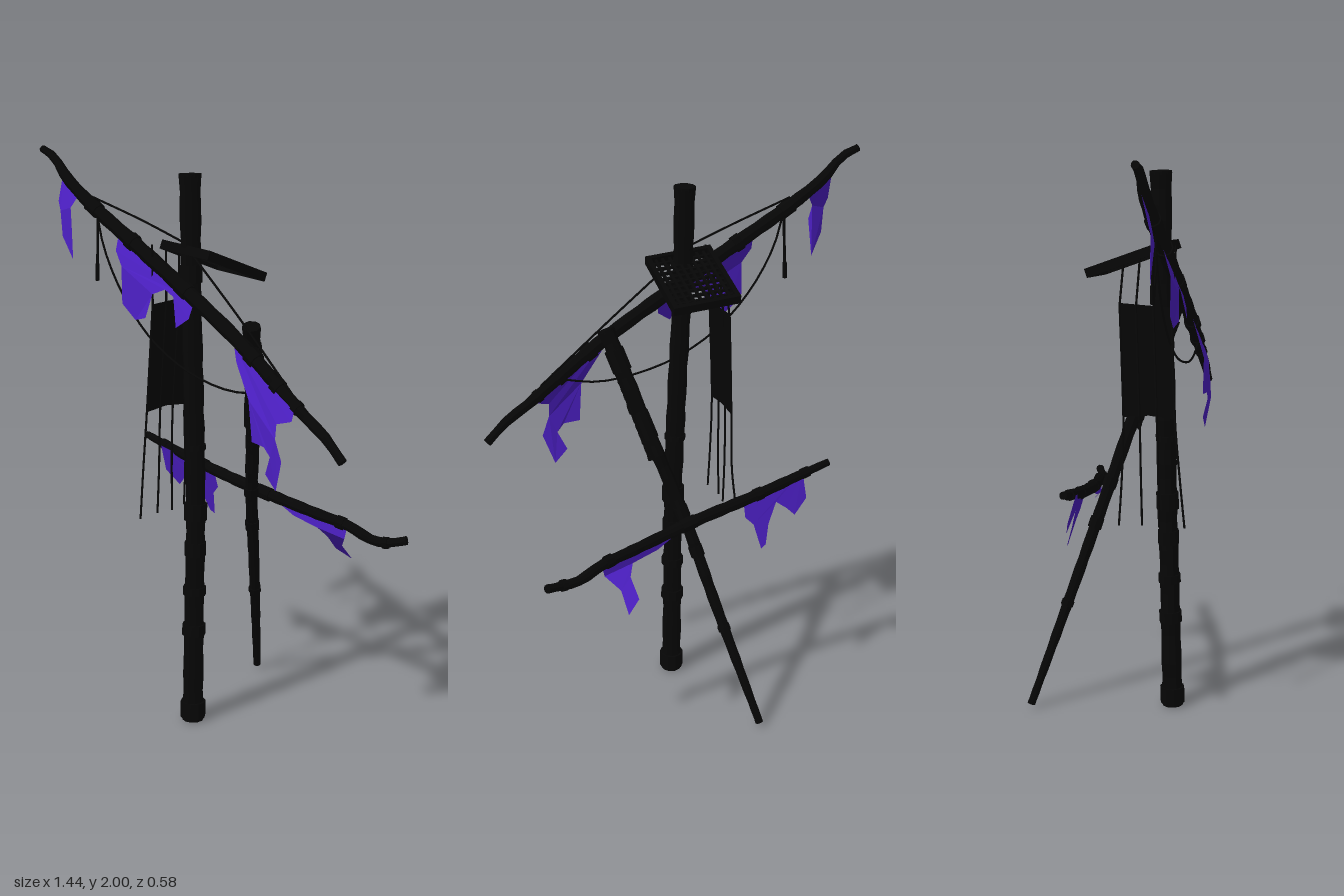
import * as THREE from 'three';

const V = (p) => new THREE.Vector3(p[0], p[1], p[2]);
const UP = new THREE.Vector3(0, 1, 0);

export function createModel() {
  const model = new THREE.Group();
  model.name = 'brokenMast';
  const black = new THREE.MeshStandardMaterial({ color: 0x060606, flatShading: true, side: THREE.DoubleSide });
  black.name = 'charred wood';
  const purple = new THREE.MeshStandardMaterial({ color: 0x4e20c8, flatShading: true, side: THREE.DoubleSide });
  purple.name = 'purple sailcloth';

  const add = (name, geometry, material, parent = model) => {
    const mesh = new THREE.Mesh(geometry, material);
    mesh.name = name;
    parent.add(mesh);
    return mesh;
  };

  // Tapered spar along a curve; radii are spread evenly over its length
  function spar(name, points, radii, bands, sides = 9) {
    const group = new THREE.Group();
    group.name = name;
    model.add(group);
    const curve = new THREE.CatmullRomCurve3(points.map(V));
    const n = 36;
    const radiusAt = (u) => {
      const f = u * (radii.length - 1);
      const i = Math.min(Math.floor(f), radii.length - 2);
      return THREE.MathUtils.lerp(radii[i], radii[i + 1], f - i);
    };
    const geo = new THREE.TubeGeometry(curve, n, 1, sides);
    const pos = geo.attributes.position;
    const v = new THREE.Vector3();
    for (let i = 0; i <= n; i++) {
      const c = curve.getPointAt(i / n);
      const r = radiusAt(i / n) * (1 + 0.05 * Math.sin(i * 2.3));
      for (let j = 0; j <= sides; j++) {
        const k = i * (sides + 1) + j;
        v.fromBufferAttribute(pos, k).sub(c).multiplyScalar(r).add(c);
        pos.setXYZ(k, v.x, v.y, v.z);
      }
    }
    geo.computeVertexNormals();
    add(name + 'Shaft', geo, black, group);
    // Lashings, with a capped one closing each end
    for (const [u, height, swell] of [[0, 0.012, 1.04], [1, 0.012, 1.04], ...bands]) {
      const r = radiusAt(u) * swell;
      const band = add(name + 'Lashing', new THREE.CylinderGeometry(r, r, height, sides), black, group);
      band.position.copy(curve.getPointAt(u));
      band.quaternion.setFromUnitVectors(UP, curve.getTangentAt(u));
    }
  }

  spar('mast',
    [[0.025, 0.006, 0.215], [0.022, 0.4, 0.203], [0.02, 0.8, 0.19], [0.005, 1.2, 0.182], [-0.012, 1.55, 0.173], [-0.022, 1.93, 0.167]],
    [0.037, 0.035, 0.034, 0.035, 0.034, 0.037],
    [[0.018, 0.06, 1.22], [0.175, 0.04, 1.18], [0.25, 0.03, 1.18], [0.33, 0.05, 1.12], [0.4, 0.06, 1.2], [0.52, 0.02, 1.1], [0.83, 0.06, 1.1]], 10);

  spar('upperYard',
    [[-0.71, 1.985, 0.238], [-0.65, 1.96, 0.238], [-0.58, 1.89, 0.237], [-0.45, 1.805, 0.235], [-0.2, 1.67, 0.228], [0, 1.56, 0.222],
      [0.27, 1.405, 0.217], [0.45, 1.28, 0.215], [0.55, 1.21, 0.213], [0.63, 1.16, 0.211], [0.7, 1.095, 0.21]],
    [0.013, 0.021, 0.024, 0.026, 0.026, 0.026, 0.025, 0.023, 0.019, 0.015],
    [[0.2, 0.05, 1.2], [0.33, 0.03, 1.2], [0.5, 0.05, 1.15], [0.72, 0.04, 1.25], [0.8, 0.03, 1.25], [0.86, 0.02, 1.2]]);

  spar('lowerYard',
    [[-0.49, 0.912, -0.05], [-0.42, 0.895, -0.053], [-0.2, 0.845, -0.07], [0.05, 0.8, -0.093], [0.3, 0.755, -0.135],
      [0.42, 0.735, -0.158], [0.51, 0.702, -0.175], [0.57, 0.702, -0.185], [0.63, 0.717, -0.212]],
    [0.013, 0.019, 0.021, 0.022, 0.021, 0.02, 0.019, 0.015],
    [[0.08, 0.03, 1.2], [0.25, 0.03, 1.15], [0.5, 0.06, 1.15], [0.78, 0.03, 1.2], [0.94, 0.02, 1.25]]);

  spar('leaningPole',
    [[-0.13, 0.02, -0.278], [-0.01, 0.48, -0.135], [0.07, 0.8, -0.037], [0.17, 1.12, 0.06], [0.27, 1.455, 0.172]],
    [0.014, 0.017, 0.02, 0.021, 0.023, 0.025, 0.028, 0.03],
    [[0.25, 0.02, 1.2], [0.45, 0.04, 1.2], [0.55, 0.04, 1.15], [0.77, 0.1, 1.15], [0.93, 0.08, 1.2]]);
  spar('poleSplint', [[0.152, 1.01, 0.042], [0.2, 1.19, 0.096], [0.247, 1.36, 0.15]], [0.02, 0.023, 0.024], [[0.5, 0.03, 1.1]]);

  // Slanted lookout grating
  const platform = new THREE.Group();
  platform.name = 'lookoutGrating';
  platform.position.set(-0.01, 1.637, 0.07);
  platform.rotation.set(-0.355, 0, -0.07);
  model.add(platform);
  const box = (name, w, h, d, x, y, z) =>
    add(name, new THREE.BoxGeometry(w, h, d), black, platform).position.set(x, y, z);
  for (const s of [-1, 1]) {
    box('gratingSideRail', 0.016, 0.032, 0.29, s * 0.112, 0, 0);
    box('gratingEndRail', 0.24, 0.032, 0.016, 0, 0, s * 0.137);
  }
  for (let i = -3.5; i <= 3.5; i++) box('gratingSlat', 0.009, 0.01, 0.28, i * 0.025, 0.003, 0);
  for (let i = -4; i <= 4; i++) box('gratingCrossSlat', 0.23, 0.01, 0.008, 0, 0, i * 0.0275);

  // Sheet of cloth: flat outline, with depth set by a rule
  function sheet(name, outline, depth, material) {
    const geo = new THREE.ShapeGeometry(new THREE.Shape(outline.map(([x, y]) => new THREE.Vector2(x, y))));
    const pos = geo.attributes.position;
    for (let i = 0; i < pos.count; i++) pos.setZ(i, depth(pos.getX(i), pos.getY(i)));
    geo.computeVertexNormals();
    return add(name, geo, material);
  }

  // Torn sail remnants
  const upperDepth = (x, y) => {
    const drop = Math.max(0, 1.56 - 0.59 * x - y);
    return 0.226 + 0.035 * Math.sin(Math.min(drop * 9, 2.6));
  };
  const lowerRightDepth = (x, y) => -0.085 - 0.13 * x - 0.3 * Math.max(0, 0.81 - 0.19 * x - y);
  const lowerLeftDepth = (x, y) => -0.09 - 0.15 * x - 0.95 * Math.max(0, 0.76 - 0.19 * x - y);
  sheet('sailShredEnd', [[-0.611, 1.925], [-0.611, 1.81], [-0.597, 1.776], [-0.59, 1.686], [-0.548, 1.605], [-0.537, 1.74],
    [-0.548, 1.79], [-0.513, 1.85]], upperDepth, purple);
  sheet('sailShredMiddle', [[-0.31, 1.72], [-0.31, 1.66], [-0.275, 1.61], [-0.275, 1.48], [-0.21, 1.43], [-0.15, 1.445], [-0.12, 1.53],
    [-0.07, 1.55], [-0.03, 1.53], [0.0, 1.43], [0.05, 1.465], [0.06, 1.53]], upperDepth, purple);
  sheet('sailShredLow', [[0.24, 1.42], [0.27, 1.35], [0.34, 1.24], [0.352, 1.1], [0.41, 1.095], [0.436, 1.066], [0.405, 1.0], [0.452, 0.952],
    [0.49, 1.06], [0.463, 1.13], [0.463, 1.18], [0.518, 1.195], [0.52, 1.24]], upperDepth, purple);
  sheet('lowerSailRight', [[-0.4, 0.89], [-0.405, 0.79], [-0.35, 0.74], [-0.32, 0.77], [-0.28, 0.8], [-0.24, 0.73], [-0.22, 0.66], [-0.2, 0.65],
    [-0.18, 0.74], [-0.15, 0.77], [-0.15, 0.835]], lowerRightDepth, purple);
  sheet('lowerSailLeft', [[0.09, 0.79], [0.2, 0.73], [0.3, 0.705], [0.32, 0.67], [0.31, 0.61], [0.36, 0.575], [0.365, 0.64],
    [0.41, 0.685], [0.42, 0.73]], lowerLeftDepth, purple);

  // Ropes
  const rope = (name, points, r = 0.004) =>
    add(name, new THREE.TubeGeometry(new THREE.CatmullRomCurve3(points.map(V)), 20, r, 5), black);
  rope('stayRight', [[-0.45, 1.835, 0.235], [-0.22, 1.77, 0.21], [0, 1.7, 0.19]]);
  rope('stayLeft', [[0.0, 1.68, 0.19], [0.25, 1.48, 0.2], [0.5, 1.27, 0.215]]);
  rope('saggingRope', [[-0.43, 1.8, 0.235], [-0.39, 1.66, 0.235], [-0.3, 1.51, 0.233], [-0.17, 1.38, 0.232], [0, 1.29, 0.23],
    [0.18, 1.25, 0.23], [0.3, 1.25, 0.225], [0.42, 1.28, 0.22]]);
  rope('danglingRope', [[-0.425, 1.81, 0.23], [-0.43, 1.68, 0.23], [-0.436, 1.54, 0.23]], 0.0055);
  rope('danglingKnot', [[-0.434, 1.6, 0.23], [-0.436, 1.54, 0.23]], 0.008);

  // Ragged net hanging below the grating, drifting outward, with loose strands
  const net = sheet('hangingNet', [[-0.05, 1.5], [-0.068, 1.11], [-0.16, 1.12], [-0.255, 1.11], [-0.235, 1.49]],
    (x, y) => (y - 1.5) * 0.045, black);
  net.rotation.y = Math.PI / 2;
  net.position.x = -0.142;
  for (const [z, endZ, endX] of [[0.053, 0.06, -0.178], [0.11, 0.138, -0.158], [0.17, 0.2, -0.168], [0.233, 0.288, -0.16]]) {
    rope('netStrand', [[-0.142, 1.49, z], [-0.16, 1.11, z + 0.018], [-0.162, 0.9, (z + endZ) / 2 + 0.01], [endX, 0.73, endZ]]);
    rope('netHanger', [[-0.142, 1.49, z], [-0.13, 1.61 + z * 0.37, z + 0.01]]);
  }
  return model;
}
